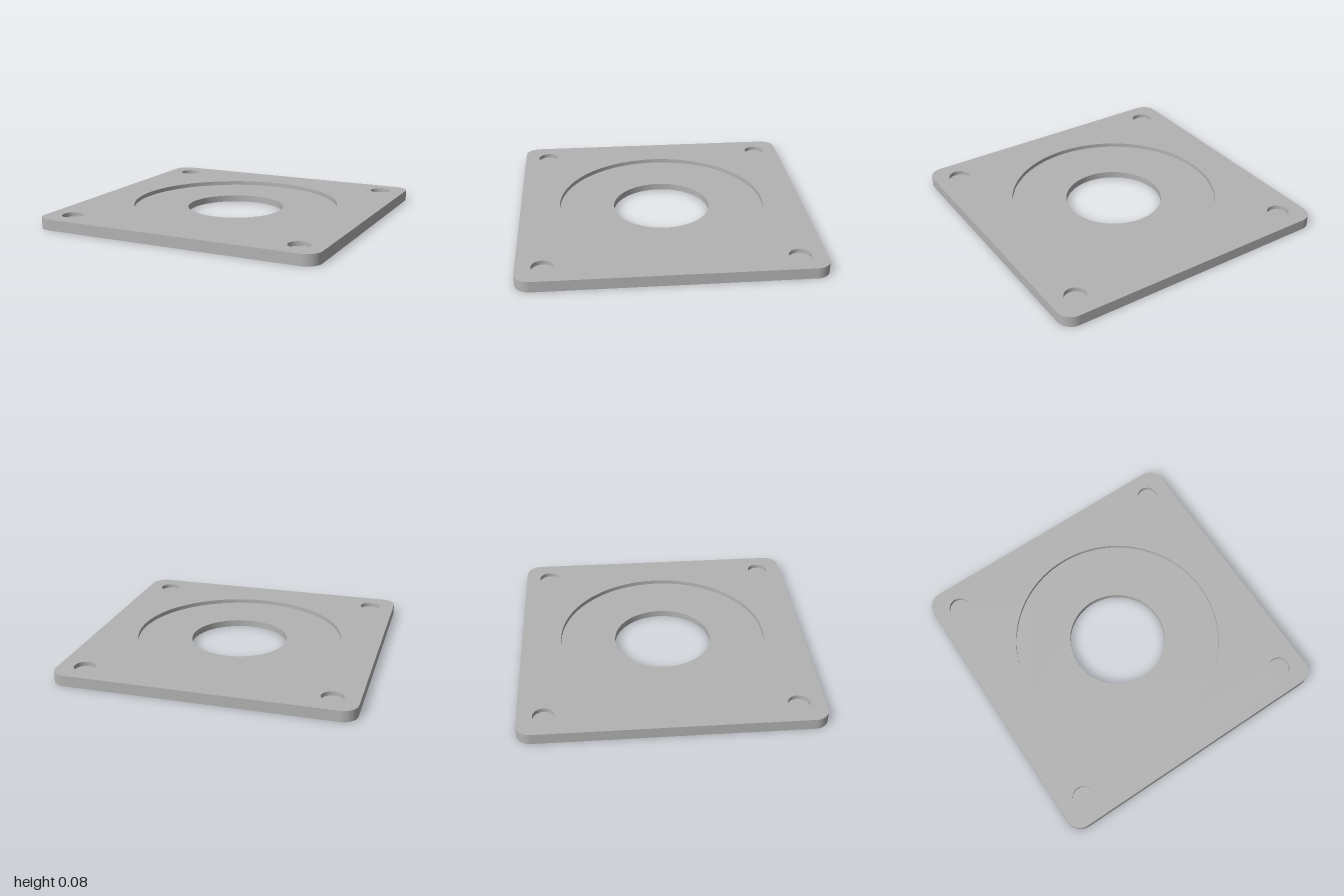
import * as THREE from 'three';

const H = 0.075;          // plate thickness
const FLOOR = 0.046;      // height of the sunken floors
const CORNER = 0.1;       // corner radius
const RECESS = 0.725, BORE = 0.34;
const SCREW = 0.073, SCREW_POS = 0.825;
const SEG = 96;

// Rounded square as a loop of points with outward normals
function roundedOutline() {
  const loop = [], c = 1 - CORNER, steps = 16;
  for (let q = 0; q < 4; q++) {
    const cx = q === 0 || q === 3 ? c : -c, cy = q < 2 ? c : -c;
    for (let i = 0; i <= steps; i++) {
      const a = (q + i / steps) * Math.PI / 2, nx = Math.cos(a), ny = Math.sin(a);
      loop.push({ p: new THREE.Vector2(cx + CORNER * nx, cy + CORNER * ny), nx, ny });
    }
  }
  return loop;
}

function circle(r, x = 0, y = 0, seg = SEG) {
  return Array.from({ length: seg }, (_, i) => {
    const a = i / seg * Math.PI * 2;
    return new THREE.Vector2(x + r * Math.cos(a), y + r * Math.sin(a));
  });
}

// Flat horizontal face with holes
function face(points, holes, y, up = true) {
  const shape = new THREE.Shape(points);
  shape.holes = holes.map((h) => new THREE.Path(h));
  return new THREE.ShapeGeometry(shape).rotateX(up ? -Math.PI / 2 : Math.PI / 2).translate(0, y, 0);
}

// Cylindrical wall facing its own axis
function innerWall(r, y0, y1, seg = SEG) {
  return new THREE.LatheGeometry([new THREE.Vector2(r, y1), new THREE.Vector2(r, y0)], seg);
}

// Outer rim, smooth round the corners and flat along the sides
function outerWall(loop) {
  const pos = [], nor = [], idx = [], n = loop.length;
  loop.forEach(({ p, nx, ny }, i) => {
    pos.push(p.x, 0, -p.y, p.x, H, -p.y);
    nor.push(nx, 0, -ny, nx, 0, -ny);
    const a = 2 * i, b = 2 * ((i + 1) % n);
    idx.push(a, b, b + 1, a, b + 1, a + 1);
  });
  const g = new THREE.BufferGeometry();
  g.setAttribute('position', new THREE.Float32BufferAttribute(pos, 3));
  g.setAttribute('normal', new THREE.Float32BufferAttribute(nor, 3));
  g.setIndex(idx);
  return g;
}

export function createModel() {
  const group = new THREE.Group();
  group.name = 'mountingPlate';
  const grey = new THREE.MeshStandardMaterial({ color: 0xb3b3b3 });
  grey.name = 'plateGrey';
  const add = (name, geometry) => {
    const mesh = new THREE.Mesh(geometry, grey);
    mesh.name = name;
    group.add(mesh);
    return mesh;
  };

  const loop = roundedOutline();
  const outline = loop.map((v) => v.p);
  const corners = [[1, 1], [-1, 1], [-1, -1], [1, -1]].map(([x, z]) => [x * SCREW_POS, z * SCREW_POS]);

  // Plate body
  add('topFace', face(outline, [circle(RECESS), ...corners.map(([x, z]) => circle(SCREW, x, z, 48))], H));
  add('bottomFace', face(outline, [circle(BORE)], 0, false));
  add('outerRim', outerWall(loop));

  // Round recess and through bore
  add('recessWall', innerWall(RECESS, FLOOR, H));
  add('recessFloor', face(circle(RECESS), [circle(BORE)], FLOOR));
  add('boreWall', innerWall(BORE, 0, FLOOR));

  // Blind screw holes in the corners
  for (const [x, z] of corners) {
    add('screwHoleWall', innerWall(SCREW, FLOOR, H, 48)).position.set(x, 0, z);
    add('screwHoleFloor', face(circle(SCREW, 0, 0, 48), [], FLOOR)).position.set(x, 0, z);
  }
  return group;
}
